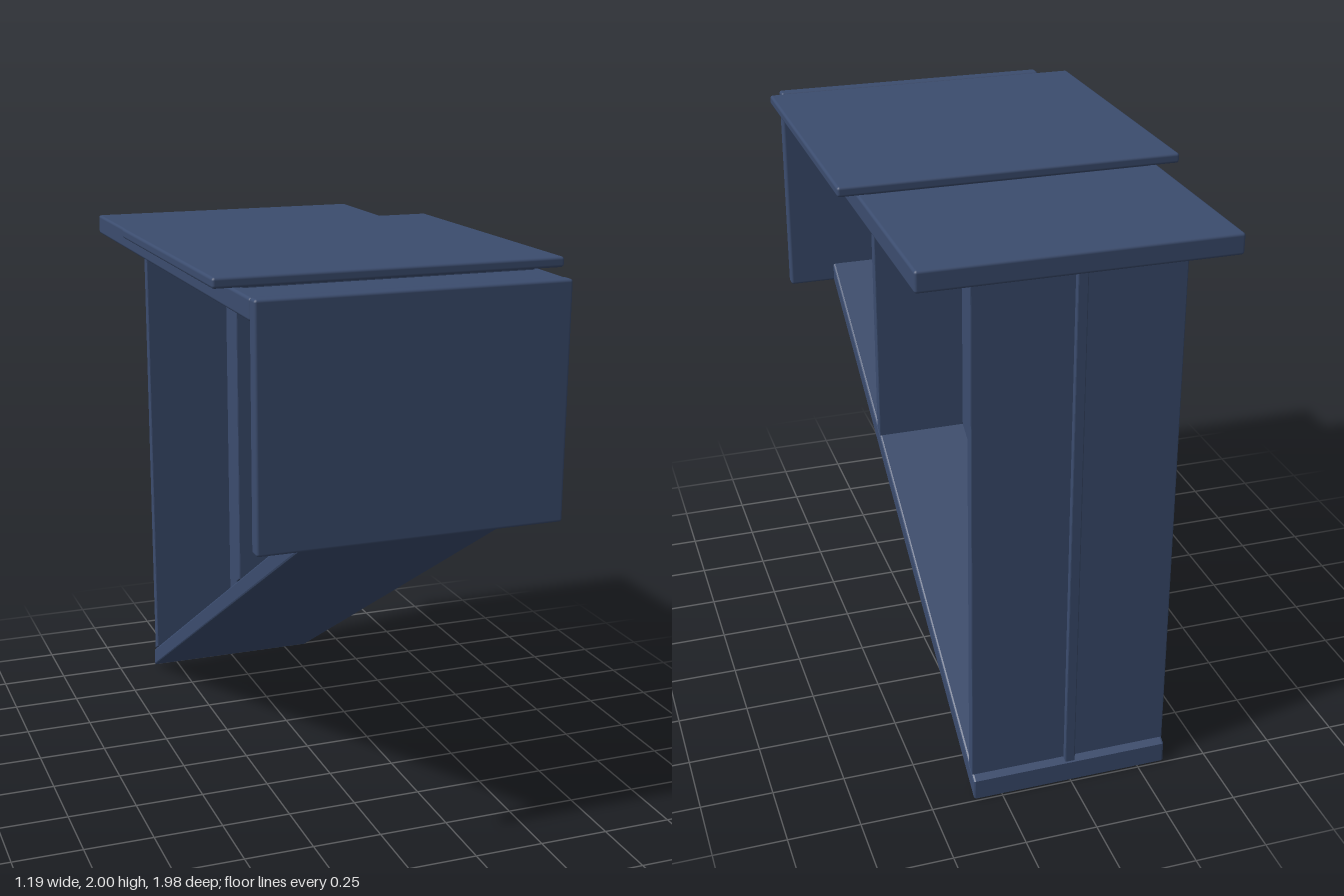
import * as THREE from 'three';
import { RoundedBoxGeometry } from 'three/addons/geometries/RoundedBoxGeometry.js';

const steel = new THREE.MeshStandardMaterial({ color: 0x3b4c6e });
steel.name = 'blue painted steel';

// Slope of the underside: y of the lower flange's bottom and top at depth z
const bottomY = (z) => (z + 0.99) * 0.603;
const flangeTop = (z) => bottomY(z) + 0.072;

// Plate with softened edges, given as min/max ranges
function plate(name, halfWidth, [y0, y1], [z0, z1]) {
  const geometry = new RoundedBoxGeometry(halfWidth * 2, y1 - y0, z1 - z0, 2, 0.01);
  const mesh = new THREE.Mesh(geometry, steel);
  mesh.name = name;
  mesh.position.set(0, (y0 + y1) / 2, (z0 + z1) / 2);
  return mesh;
}

// Side profile of [z, y] points, extruded across x with a small bevel
function profile(name, halfWidth, points, bevel) {
  const shape = new THREE.Shape(points.map(([z, y]) => new THREE.Vector2(z, y)));
  const depth = 2 * (halfWidth - bevel);
  const geometry = new THREE.ExtrudeGeometry(shape, {
    depth, bevelEnabled: true, bevelThickness: bevel, bevelSize: bevel,
    bevelOffset: -bevel, bevelSegments: 2,
  });
  geometry.translate(0, 0, -depth / 2);
  geometry.rotateY(-Math.PI / 2);
  const mesh = new THREE.Mesh(geometry, steel);
  mesh.name = name;
  return mesh;
}

// Upright stiffener whose foot follows the sloping flange
function stiffener(name, z0, z1, side) {
  const inner = 0.01, outer = 0.35;
  const mesh = profile(name, (outer - inner) / 2, [
    [z0, flangeTop(z0)], [z1, flangeTop(z1)], [z1, 1.892], [z0, 1.892],
  ], 0.004);
  mesh.position.x = side * (inner + outer) / 2;
  return mesh;
}

export function createModel() {
  const bracket = new THREE.Group();
  bracket.name = 'bracket';

  // Outer plates
  bracket.add(plate('topPad', 0.595, [1.965, 2.0], [-0.32, 0.8]));
  bracket.add(plate('topFlange', 0.525, [1.888, 1.96], [-0.99, 0.942]));
  bracket.add(plate('frontPlate', 0.525, [1.165, 1.962], [0.94, 0.99]));
  // Thin shim joining the pad to the flange
  bracket.add(plate('padSeat', 0.5, [1.945, 1.975], [-0.3, 0.78]));

  // Sloping lower flange
  bracket.add(profile('lowerFlange', 0.35, [
    [-0.99, bottomY(-0.99)], [0.942, bottomY(0.942)],
    [0.942, flangeTop(0.942)], [-0.99, flangeTop(-0.99)],
  ], 0.008));

  // Central web
  bracket.add(profile('web', 0.018, [
    [-0.985, flangeTop(-0.985) - 0.005], [0.942, flangeTop(0.942) - 0.005],
    [0.942, 1.892], [-0.985, 1.892],
  ], 0.004));

  // Stiffeners on both sides of the web
  for (const side of [-1, 1]) {
    bracket.add(stiffener('middleStiffener', 0.22, 0.258, side));
    bracket.add(stiffener('backStiffener', -0.967, -0.93, side));
  }
  return bracket;
}
